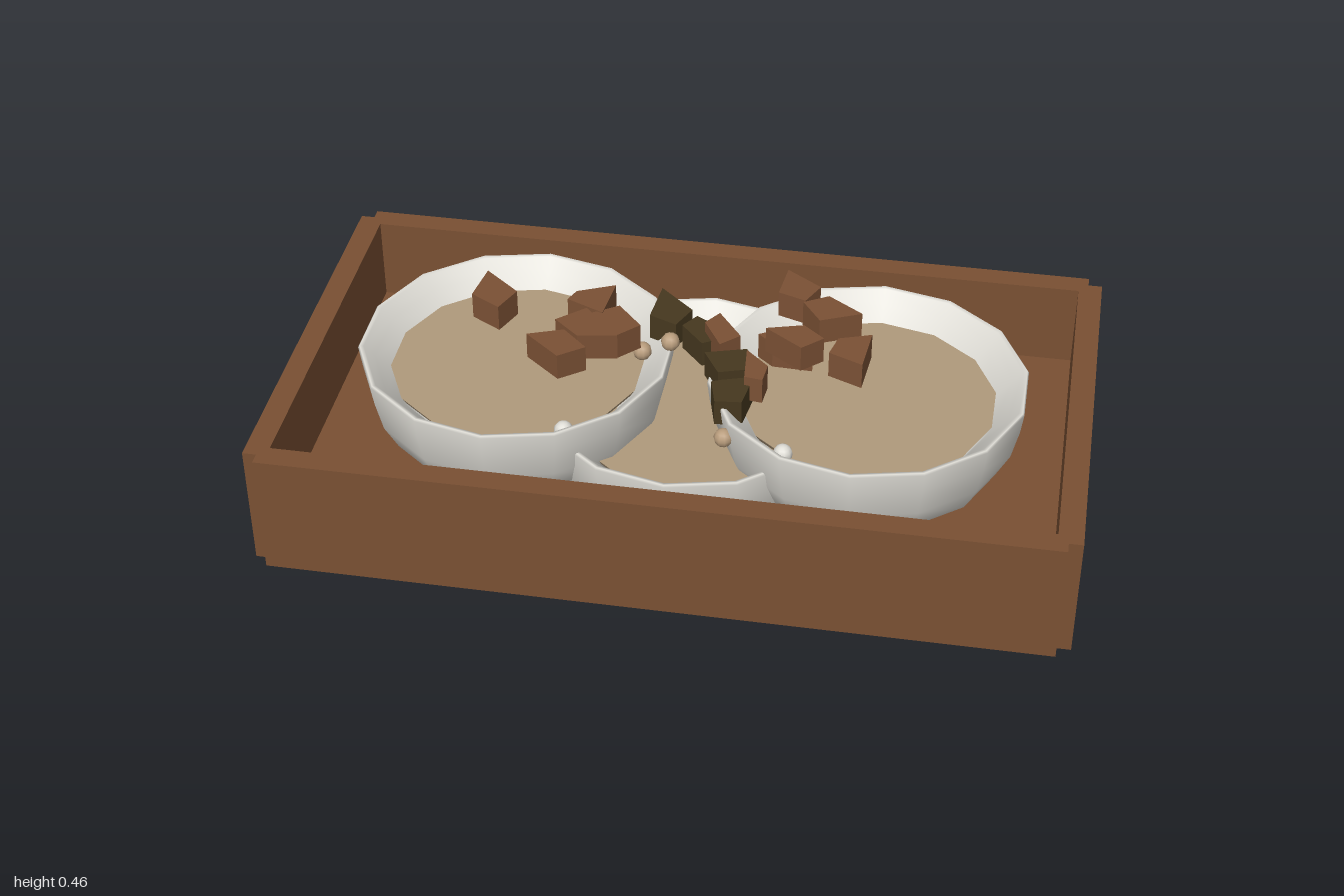
import * as THREE from 'three';

const mat = (name, color) => Object.assign(new THREE.MeshStandardMaterial({ color }), { name });

export function createModel() {
  const root = new THREE.Group();
  root.name = 'servingTray';
  const wood = mat('wood brown', 0x7a5033);
  const chunkBrown = mat('chunk brown', 0x7b5135);
  const chunkDark = mat('dark chunk', 0x46381f);
  const china = mat('bowl white', 0xdfddd6);
  const cream = mat('beige filling', 0xb09a7c);
  const nut = mat('nut beige', 0xb89c7c);

  const add = (parent, name, geometry, material, x = 0, y = 0, z = 0) => {
    const mesh = new THREE.Mesh(geometry, material);
    mesh.name = name;
    mesh.position.set(x, y, z);
    parent.add(mesh);
    return mesh;
  };

  // Tray: floor slab and four walls that leave small notches at the corners
  const H = 0.325;
  const tray = new THREE.Group();
  tray.name = 'tray';
  root.add(tray);
  add(tray, 'trayFloor', new THREE.BoxGeometry(1.9, 0.1, 1.02), wood, 0, 0.05, 0);
  for (const s of [-1, 1]) {
    add(tray, 'longWall', new THREE.BoxGeometry(1.93, H, 0.06), wood, 0, H / 2, s * 0.525);
    add(tray, 'endWall', new THREE.BoxGeometry(0.06, H, 1.05), wood, s * 0.97, H / 2, 0);
  }

  // Bowls: fourteen-sided turned shell with a flat filling
  const profile = [
    [0, 0.003], [0.29, 0.003], [0.34, 0.05], [0.375, 0.12], [0.393, 0.2], [0.4, 0.255],
    [0.396, 0.26], [0.386, 0.258], [0.36, 0.225], [0.318, 0.18], [0.25, 0.08], [0, 0.03],
  ].map(([r, y]) => new THREE.Vector2(r, y));
  for (const [name, x, y] of [['leftBowl', 0.445, 0.09], ['middleBowl', 0, 0], ['rightBowl', -0.445, 0.09]]) {
    const bowl = new THREE.Group();
    bowl.name = name;
    bowl.position.set(x, y, 0);
    root.add(bowl);
    add(bowl, 'bowlShell', new THREE.LatheGeometry(profile, 14), china);
    add(bowl, 'bowlFilling', new THREE.CylinderGeometry(0.322, 0.31, 0.02, 14), cream, 0, 0.185, 0);
  }
  // Foot ring of the middle bowl, seen through the tray floor
  add(root, 'bowlFoot', new THREE.RingGeometry(0.18, 0.29, 14), china, 0, -0.001, 0).rotation.x = Math.PI / 2;

  // Chunks: irregular four-cornered blocks, [base height, x, z, x, z, x, z, x, z]
  const chunk = (name, material, [y, ...p]) => {
    const shape = new THREE.Shape();
    for (let i = 0; i < 8; i += 2) shape[i ? 'lineTo' : 'moveTo'](p[i], -p[i + 1]);
    const g = new THREE.ExtrudeGeometry(shape, { depth: 0.07, bevelEnabled: false });
    g.rotateX(-Math.PI / 2);
    // Slight lean along the length
    const cx = (p[0] + p[2] + p[4] + p[6]) / 4;
    const pos = g.attributes.position;
    for (let i = 0; i < pos.count; i++) pos.setY(i, pos.getY(i) - 0.1 * (pos.getX(i) - cx));
    g.computeVertexNormals();
    add(root, name, g, material, 0, y, 0);
  };
  const rightChunks = [
    [0.38, -0.55, -0.145, -0.46, -0.08, -0.49, 0, -0.565, -0.035],
    [0.375, -0.31, -0.1, -0.22, -0.155, -0.23, -0.03, -0.325, -0.06],
    [0.365, -0.275, -0.01, -0.195, -0.075, -0.13, -0.01, -0.18, 0.05],
    [0.38, -0.335, 0.04, -0.27, -0.03, -0.175, 0.06, -0.27, 0.09],
    [0.385, -0.39, 0.12, -0.305, 0.075, -0.24, 0.13, -0.3, 0.185],
  ];
  const leftChunks = [
    [0.385, 0.205, -0.27, 0.295, -0.22, 0.265, -0.15, 0.195, -0.165],
    [0.375, 0.26, -0.145, 0.32, -0.19, 0.41, -0.14, 0.31, -0.08],
    [0.325, 0.16, -0.06, 0.23, -0.11, 0.3, -0.04, 0.2, -0.03],
    [0.38, 0.185, -0.01, 0.275, -0.05, 0.33, -0.01, 0.28, 0.045],
    [0.375, 0.365, -0.01, 0.445, -0.05, 0.435, 0.08, 0.35, 0.055],
    [0.325, 0.02, -0.09, 0.05, -0.14, 0.115, -0.06, 0.07, -0.01],
    [0.32, 0.14, 0, 0.2, 0.05, 0.195, 0.11, 0.15, 0.11],
  ];
  const darkChunks = [
    [0.315, -0.115, -0.235, -0.025, -0.165, -0.055, -0.09, -0.125, -0.11],
    [0.3, -0.04, -0.1, -0.01, -0.15, 0.1, -0.1, 0.02, -0.04],
    [0.325, 0.04, 0.04, 0.14, -0.005, 0.18, 0.065, 0.085, 0.11],
    [0.3, 0.07, 0.12, 0.17, 0.06, 0.155, 0.18, 0.09, 0.195],
  ];
  for (const c of [...rightChunks, ...leftChunks]) chunk('brownChunk', chunkBrown, c);
  for (const c of darkChunks) chunk('darkChunk', chunkDark, c);

  // Small round nuts and white beads
  const ball = new THREE.SphereGeometry(0.024, 10, 8);
  for (const [x, y, z] of [[-0.13, 0.335, -0.03], [-0.06, 0.365, -0.04], [0.12, 0.3, 0.24]]) {
    add(root, 'nut', ball, nut, x, y, z);
  }
  for (const sx of [-1, 1]) for (const sz of [-1, 1]) {
    add(root, 'whiteBead', ball, china, sx * 0.27, 0.295, sz * 0.27);
  }
  return root;
}
